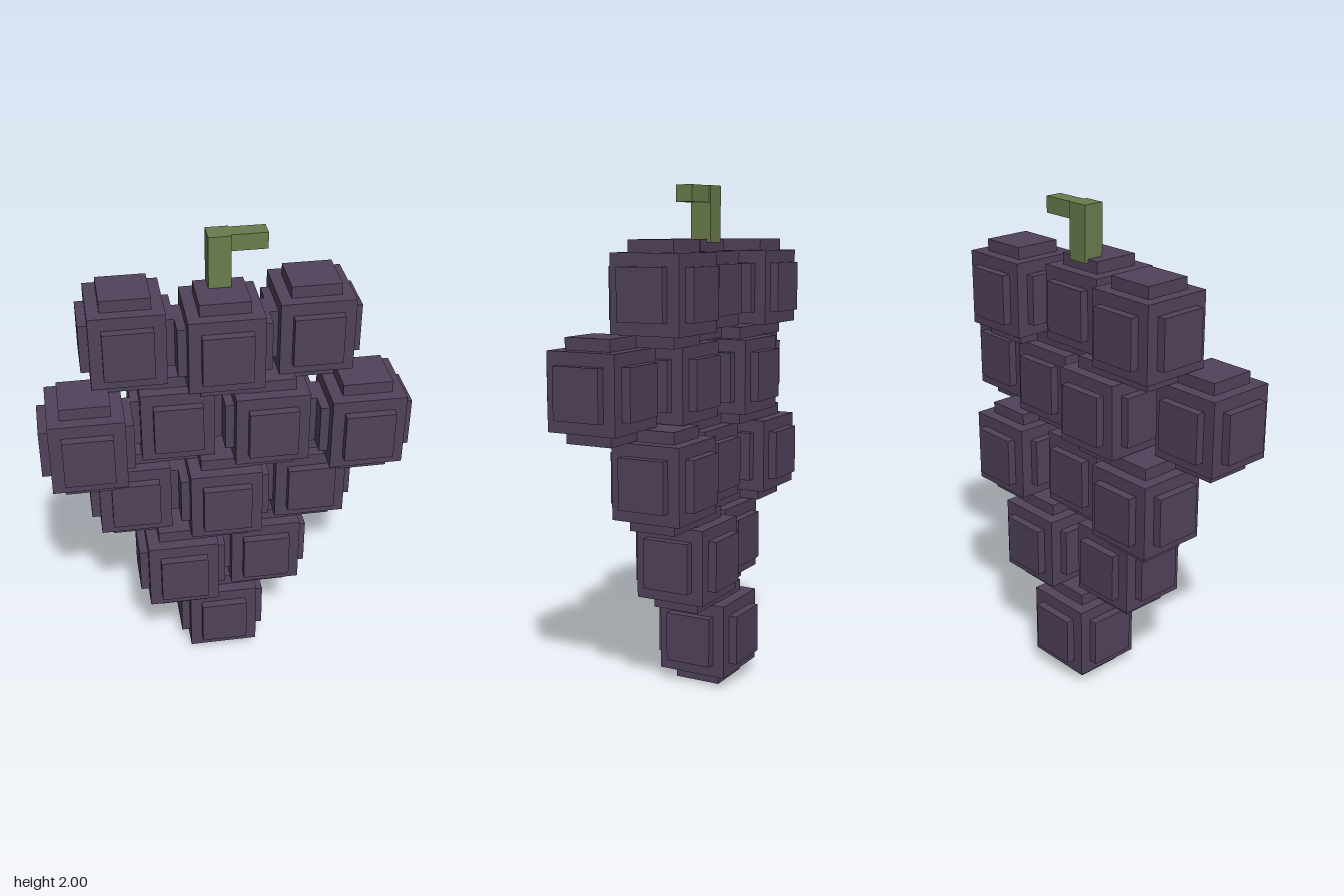
import * as THREE from 'three';

export function createModel() {
  const model = new THREE.Group();
  model.name = 'grapeBunch';

  const grapeMat = new THREE.MeshStandardMaterial({ color: 0x51425b });
  grapeMat.name = 'grape purple';
  const stemMat = new THREE.MeshStandardMaterial({ color: 0x6a7c4c });
  stemMat.name = 'stem green';

  function addBox(parent, name, material, size, position = [0, 0, 0]) {
    const mesh = new THREE.Mesh(new THREE.BoxGeometry(...size), material);
    mesh.name = name;
    mesh.position.set(...position);
    parent.add(mesh);
  }

  // Blocky grape: a core with a smaller raised panel on every face
  function addGrape(x, y, z) {
    const grape = new THREE.Group();
    grape.name = 'grape';
    grape.position.set(x, y, z);
    addBox(grape, 'grapeCore', grapeMat, [0.29, 0.3, 0.29]);
    addBox(grape, 'sidePanels', grapeMat, [0.36, 0.2, 0.194]);
    addBox(grape, 'topAndBottomPanels', grapeMat, [0.194, 0.394, 0.194]);
    addBox(grape, 'frontAndBackPanels', grapeMat, [0.194, 0.2, 0.36]);
    model.add(grape);
  }

  // Rows from the bottom up, each grape as [x, z]
  const back = -0.08, middle = 0.005, front = 0.08;
  const rows = [
    [[0, back]],
    [[-0.18, middle], [0.18, back]],
    [[-0.36, back], [0, middle], [0.36, back]],
    [[-0.54, front], [-0.18, back], [0.18, middle], [0.54, front]],
    [[-0.36, back], [0, middle], [0.36, back]],
  ];
  rows.forEach((row, i) => {
    for (const [x, z] of row) addGrape(x, 0.197 + i * 0.35, z);
  });

  // Bent stem
  const stem = new THREE.Group();
  stem.name = 'stem';
  addBox(stem, 'stemUpright', stemMat, [0.087, 0.22, 0.087], [-0.002, 1.89, -0.063]);
  addBox(stem, 'stemArm', stemMat, [0.2, 0.065, 0.069], [0.08, 1.9665, -0.066]);
  model.add(stem);

  return model;
}
